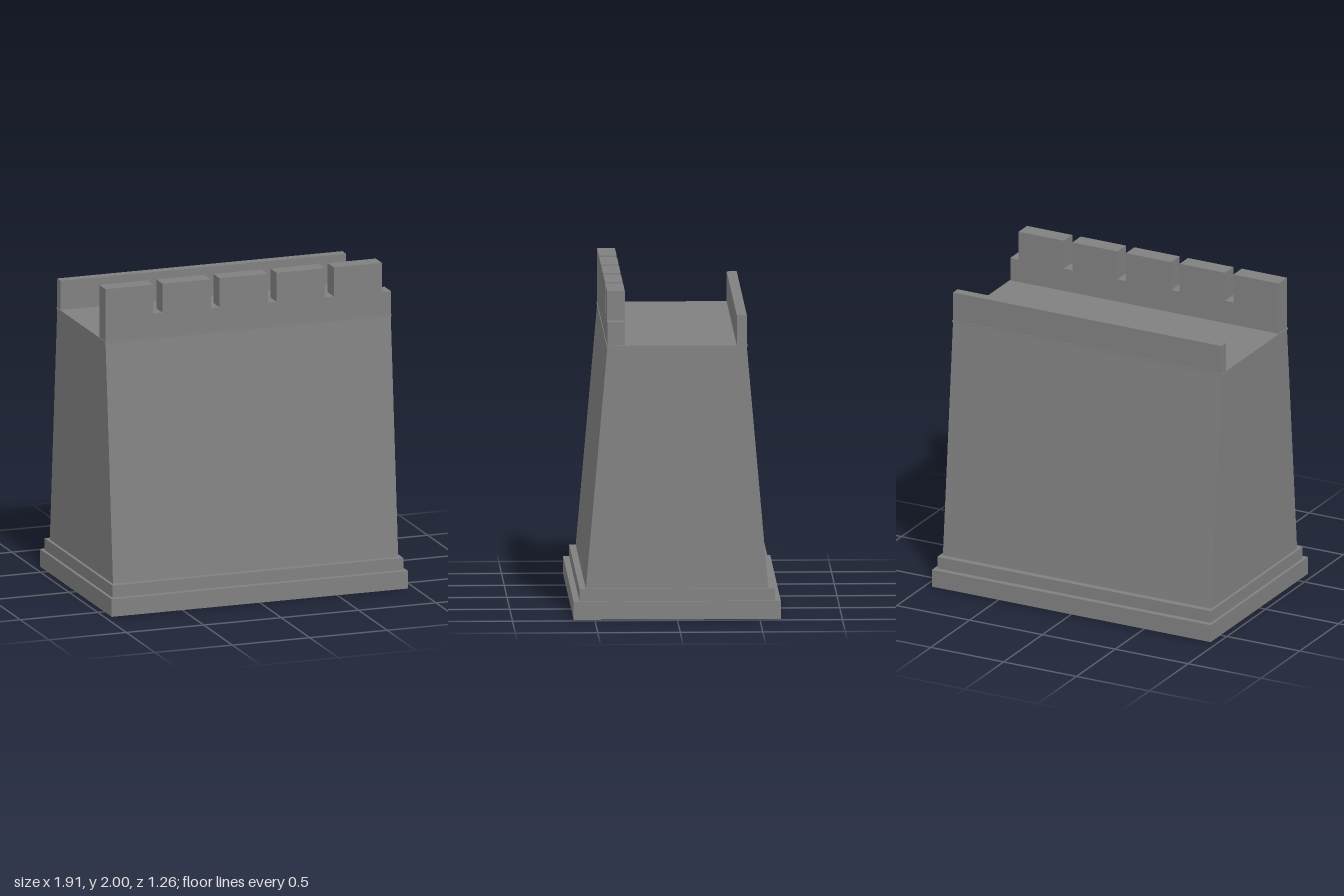
import * as THREE from 'three';

export function createModel() {
  const model = new THREE.Group();
  model.name = 'wallSegment';
  const stone = new THREE.MeshStandardMaterial({ color: 0x808080 });
  stone.name = 'grey stone';

  // Box given by its extents on each axis
  function block(name, [x0, x1], [y0, y1], [z0, z1]) {
    const mesh = new THREE.Mesh(new THREE.BoxGeometry(x1 - x0, y1 - y0, z1 - z0), stone);
    mesh.position.set((x0 + x1) / 2, (y0 + y1) / 2, (z0 + z1) / 2);
    mesh.name = name;
    model.add(mesh);
  }

  // Stepped plinth
  block('plinthLower', [-0.957, 0.957], [0, 0.11], [-0.628, 0.628]);
  block('plinthUpper', [-0.939, 0.939], [0.11, 0.185], [-0.592, 0.592]);

  // Wall body, battered on front and back, flat on the ends
  const section = new THREE.Shape([
    new THREE.Vector2(-0.553, 0.185), new THREE.Vector2(0.553, 0.185),
    new THREE.Vector2(0.423, 1.662), new THREE.Vector2(-0.423, 1.662),
  ]);
  const bodyGeometry = new THREE.ExtrudeGeometry(section, { depth: 1.842, bevelEnabled: false });
  bodyGeometry.translate(0, 0, -0.921).rotateY(Math.PI / 2);
  const body = new THREE.Mesh(bodyGeometry, stone);
  body.name = 'wallBody';
  model.add(body);

  // Thin walkway slab with a slight lip
  block('walkway', [-0.925, 0.925], [1.662, 1.672], [-0.427, 0.427]);

  // Low rear parapet
  block('rearParapet', [-0.921, 0.921], [1.672, 1.855], [-0.423, -0.362]);

  // Front parapet with merlons; the last gap is open at the +x end
  block('frontParapet', [-0.921, 0.921], [1.672, 1.818], [0.315, 0.423]);
  for (let i = 0; i < 5; i++) {
    const x = -0.921 + i * 0.3684;
    block('merlon' + (i + 1), [x, x + 0.311], [1.818, 2], [0.315, 0.423]);
  }
  return model;
}
